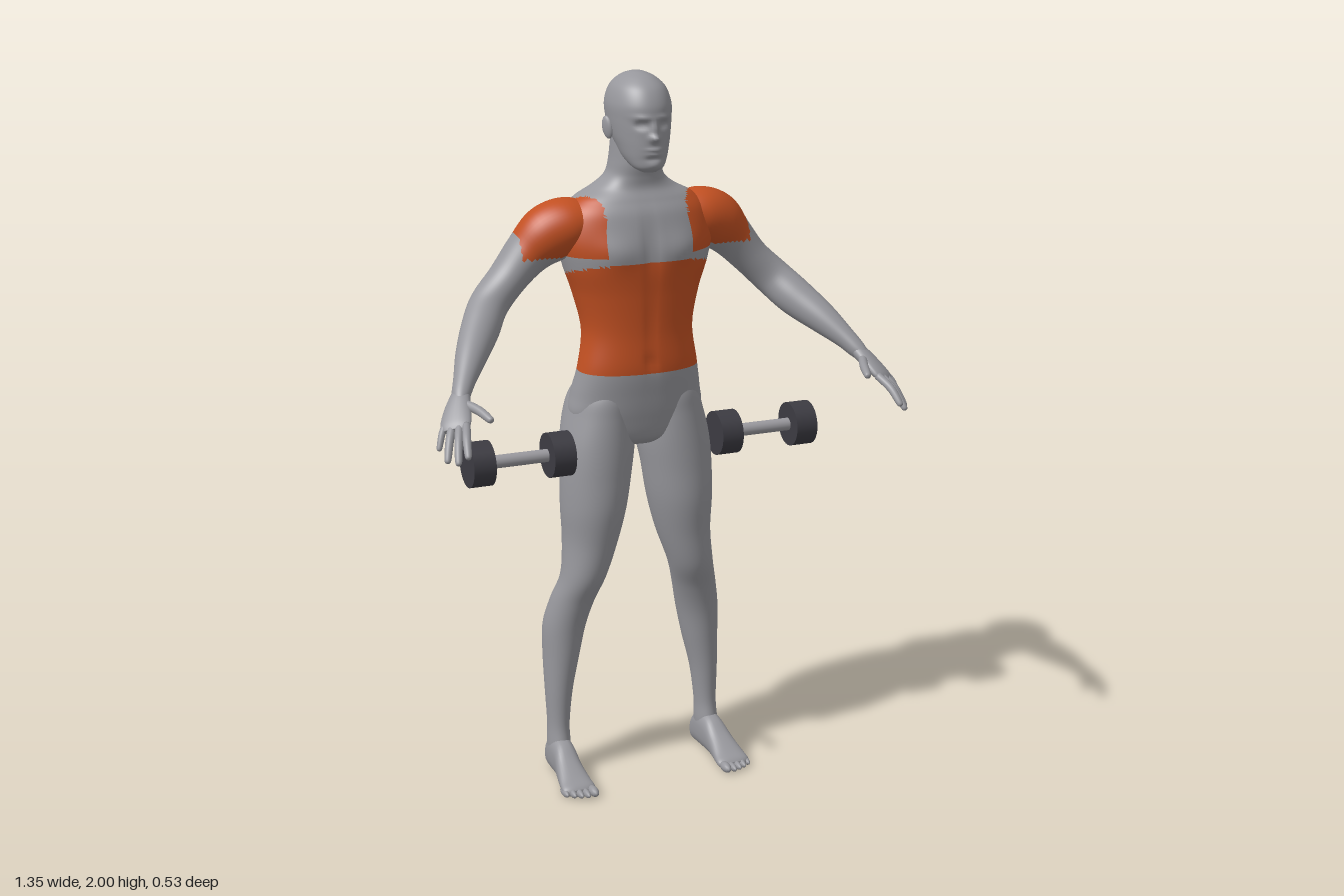
import * as THREE from 'three';

const V = (x, y, z) => new THREE.Vector3(x, y, z);
const mat = (name, color) => {
  const m = new THREE.MeshStandardMaterial({ color });
  m.name = name;
  return m;
};
const pow = (v, p) => Math.sign(v) * Math.abs(v) ** p;

// Smooth in-between sections for a short list of key sections
function refine(keys, steps) {
  const out = [], n = keys.length, at = i => keys[Math.min(n - 1, Math.max(0, i))];
  for (let i = 0; i < n - 1; i++) for (let s = 0; s < steps; s++) {
    const t = s / steps;
    out.push(keys[i].map((_, k) => {
      const a = at(i - 1)[k], b = at(i)[k], c = at(i + 1)[k], d = at(i + 2)[k];
      return b + 0.5 * t * (c - a + t * (2 * a - 5 * b + 4 * c - d + t * (3 * (b - c) + d - a)));
    }));
  }
  out.push(keys[n - 1]);
  return out;
}

function ring(c, u, v, segs, p = 1) {
  return Array.from({ length: segs }, (_, i) => {
    const a = i / segs * Math.PI * 2;
    return c.clone().addScaledVector(u, pow(Math.cos(a), p)).addScaledVector(v, pow(Math.sin(a), p));
  });
}

// Level sections: [y, centre x, half width, back z, front z]
const levels = (keys, segs, p, steps = 8) => refine(keys, steps).map(([y, x, w, b, f]) =>
  ring(V(x, y, (b + f) / 2), V(w, 0, 0), V(0, 0, (f - b) / 2), segs, p));

// Sections square to a path: [x, y, z, radius along ref, other radius]
function limb(keys, ref, segs, steps = 6) {
  const s = refine(keys, steps), pts = s.map(k => V(k[0], k[1], k[2]));
  return s.map((k, i) => {
    const t = pts[Math.min(i + 1, pts.length - 1)].clone().sub(pts[Math.max(i - 1, 0)]).normalize();
    const u = ref.clone().addScaledVector(t, -ref.dot(t)).normalize();
    return ring(pts[i], u.clone().multiplyScalar(k[3]), t.cross(u).multiplyScalar(k[4]), segs);
  });
}

// Closed skin over rings; bumps are soft swellings [x, y, spread x, spread y, amount, face]
function skin(name, rings, mats, { side = 1, bumps = [], paint = () => false } = {}) {
  const segs = rings[0].length, pts = rings.flat().map(p => p.clone());
  const mean = r => r.reduce((a, p) => a.add(p), V(0, 0, 0)).divideScalar(segs);
  pts.push(mean(rings[0]), mean(rings[rings.length - 1]));
  for (const p of pts) {
    let dz = 0;
    for (const [x, y, sx, sy, amt, face = 1] of bumps) {
      const w = THREE.MathUtils.clamp(face * (p.z + 0.11) / 0.08, 0, 1);
      dz += w * face * amt * Math.exp(-(((Math.abs(p.x) - x) / sx) ** 2) - ((p.y - y) / sy) ** 2);
    }
    p.z += dz;
    p.x *= side;
  }
  const tris = [], last = (rings.length - 1) * segs, n = rings.length * segs;
  for (let j = 0; j < segs; j++) {
    const k = (j + 1) % segs;
    tris.push([n, k, j], [n + 1, last + j, last + k]);
    for (let i = 0; i < last; i += segs)
      tris.push([i + j, i + k, i + segs + k], [i + j, i + segs + k, i + segs + j]);
  }
  const vol = tris.reduce((s, [a, b, c]) => s + pts[a].dot(pts[b].clone().cross(pts[c])), 0);
  const lists = [[], []];
  for (const [a, b, c] of tris) {
    const m = pts[a].clone().add(pts[b]).add(pts[c]).divideScalar(3);
    lists[paint(Math.abs(m.x), m.y, m.z) ? 1 : 0].push(...(vol > 0 ? [a, b, c] : [a, c, b]));
  }
  const g = new THREE.BufferGeometry().setFromPoints(pts);
  g.setIndex(lists.flat());
  g.addGroup(0, lists[0].length, 0);
  if (lists[1].length) g.addGroup(lists[0].length, lists[1].length, 1);
  g.computeVertexNormals();
  const mesh = new THREE.Mesh(g, mats);
  mesh.name = name;
  return mesh;
}

export function createModel() {
  const model = new THREE.Group();
  model.name = 'athlete';
  const body = [mat('skinGrey', 0x97979c), mat('muscleOrange', 0xc25022)];
  const dark = mat('weightDark', 0x3c3b42), steel = mat('handleSteel', 0x9a999e);

  // Highlighted shoulders and waist band
  const shoulder = (x, y, z) => x > 0.12 + Math.max(0, -0.06 - z) * 0.55 && x < 0.335 &&
    y > 1.515 + 0.45 * Math.max(0, -0.1 - z);
  const paint = (x, y, z) => shoulder(x, y, z) || (x < 0.23 && y > 1.19 && y < 1.5 + 0.29 * z);

  // Torso and neck
  model.add(skin('torso', levels([
    [0.975, 0, 0.06, -0.17, -0.07], [1.0, 0, 0.15, -0.215, -0.045], [1.06, 0, 0.192, -0.237, -0.03],
    [1.12, 0, 0.186, -0.238, -0.02], [1.2, 0, 0.17, -0.216, -0.01], [1.3, 0, 0.157, -0.22, -0.013],
    [1.4, 0, 0.178, -0.24, -0.01], [1.48, 0, 0.205, -0.25, -0.005], [1.55, 0, 0.22, -0.257, -0.01],
    [1.62, 0, 0.205, -0.252, -0.025], [1.66, 0, 0.17, -0.237, -0.045], [1.69, 0, 0.115, -0.222, -0.06],
    [1.72, 0, 0.08, -0.21, -0.06], [1.76, 0, 0.07, -0.2, -0.055], [1.83, 0, 0.066, -0.185, -0.06],
  ], 80, 0.88), body, {
    paint, bumps: [
      [0.09, 1.53, 0.06, 0.045, 0.012], [0, 1.54, 0.014, 0.08, -0.008], [0, 1.33, 0.012, 0.12, -0.005],
      [0.09, 1.6, 0.05, 0.07, 0.015, -1], [0, 1.4, 0.028, 0.22, -0.018, -1], [0, 1.22, 0.012, 0.02, -0.006],
    ],
  }));

  // Head with modelled face
  model.add(skin('head', levels([
    [1.742, 0, 0.02, -0.045, -0.012], [1.755, 0, 0.042, -0.08, 0.004], [1.78, 0, 0.058, -0.13, 0.008],
    [1.81, 0, 0.068, -0.165, 0.01], [1.84, 0, 0.076, -0.195, 0.01], [1.88, 0, 0.082, -0.217, 0.01],
    [1.92, 0, 0.083, -0.222, 0.008], [1.96, 0, 0.07, -0.205, -0.012], [1.985, 0, 0.045, -0.175, -0.045],
    [1.997, 0, 0.02, -0.14, -0.08], [2.0, 0, 0.003, -0.115, -0.105],
  ], 80, 0.95), body, {
    bumps: [
      [0, 1.836, 0.013, 0.01, 0.019], [0, 1.86, 0.008, 0.02, 0.011], [0.032, 1.87, 0.015, 0.01, -0.013],
      [0.032, 1.869, 0.008, 0.005, 0.005], [0.03, 1.89, 0.025, 0.007, 0.005], [0, 1.805, 0.02, 0.005, 0.006],
      [0, 1.793, 0.018, 0.005, 0.005], [0, 1.78, 0.02, 0.006, -0.005], [0, 1.762, 0.02, 0.01, 0.004],
    ],
  }));

  for (const side of [1, -1]) {
    const who = side > 0 ? 'left' : 'right';
    const add = (part, rings, opts) => model.add(skin(who + part, rings, body, { side, ...opts }));

    // Ear
    const ear = new THREE.Mesh(new THREE.SphereGeometry(1, 16, 12), body[0]);
    ear.name = who + 'Ear';
    ear.scale.set(0.009, 0.031, 0.018);
    ear.position.set(side * 0.085, 1.853, -0.112);
    ear.rotation.set(-0.2, side * -0.4, side * -0.12);
    model.add(ear);

    // Leg
    add('Leg', levels([
      [1.18, 0.09, 0.05, -0.19, -0.06], [1.12, 0.096, 0.083, -0.25, -0.035], [1.06, 0.103, 0.096, -0.264, -0.03],
      [0.98, 0.112, 0.104, -0.246, -0.025], [0.9, 0.121, 0.1, -0.225, -0.022], [0.8, 0.13, 0.092, -0.222, -0.02],
      [0.7, 0.141, 0.077, -0.21, -0.032], [0.6, 0.163, 0.064, -0.19, -0.045], [0.52, 0.187, 0.062, -0.213, -0.075],
      [0.44, 0.205, 0.06, -0.232, -0.095], [0.35, 0.215, 0.051, -0.225, -0.105], [0.25, 0.225, 0.039, -0.206, -0.112],
      [0.15, 0.229, 0.031, -0.195, -0.115], [0.09, 0.23, 0.032, -0.197, -0.105], [0.04, 0.231, 0.03, -0.195, -0.1],
    ], 48, 1));

    // Foot: [z, centre x, half width, top y]
    add('Foot', refine([
      [-0.214, 0.228, 0.008, 0.05], [-0.2, 0.228, 0.026, 0.075], [-0.16, 0.23, 0.033, 0.11],
      [-0.1, 0.232, 0.034, 0.105], [-0.05, 0.236, 0.039, 0.072], [0, 0.238, 0.046, 0.043],
      [0.03, 0.238, 0.047, 0.03], [0.042, 0.238, 0.03, 0.02],
    ], 6).map(([z, x, w, top]) => ring(V(x, top / 2, z), V(w, 0, 0), V(0, top / 2, 0), 32, 0.8)));
    for (let i = 0; i < 5; i++) {
      const toe = new THREE.Mesh(new THREE.SphereGeometry(1, 14, 10), body[0]);
      toe.name = who + 'Toe';
      const big = i === 0;
      toe.scale.set(big ? 0.013 : 0.009, big ? 0.014 : 0.011, 0.028);
      toe.position.set(side * (big ? 0.204 : 0.207 + i * 0.018), big ? 0.014 : 0.011, 0.05 - i * i * 0.0018);
      model.add(toe);
    }

    // Arm from inside the chest to the wrist
    add('Arm', limb([
      [0.13, 1.61, -0.13, 0.045, 0.06], [0.185, 1.595, -0.14, 0.074, 0.08], [0.245, 1.568, -0.15, 0.08, 0.08],
      [0.3, 1.52, -0.16, 0.063, 0.068], [0.36, 1.455, -0.157, 0.052, 0.06], [0.42, 1.395, -0.135, 0.053, 0.053],
      [0.465, 1.345, -0.08, 0.053, 0.05], [0.515, 1.295, -0.01, 0.043, 0.042], [0.555, 1.25, 0.05, 0.03, 0.031],
      [0.578, 1.22, 0.085, 0.024, 0.026], [0.59, 1.205, 0.105, 0.016, 0.02],
    ], V(0.7, 0.7, 0), 48), { paint: shoulder });

    // Hand: palm, fingers and thumb
    const across = V(0.64, 0, -0.77);
    add('Palm', limb([
      [0.568, 1.235, 0.068, 0.018, 0.015], [0.582, 1.215, 0.09, 0.027, 0.02], [0.6, 1.19, 0.12, 0.037, 0.019],
      [0.618, 1.162, 0.155, 0.042, 0.015], [0.625, 1.15, 0.17, 0.033, 0.009],
    ], across, 24));
    const tips = [[0.622, 1.1, 0.264], [0.644, 1.082, 0.25], [0.662, 1.08, 0.215], [0.668, 1.1, 0.165]];
    const digit = (part, a, m, b, r) => add(part, limb([
      [...a, r, r], [...m, r, r], [...m.map((v, k) => v + (b[k] - v) * 0.85), r * 0.8, r * 0.8], [...b, 0.002, 0.002],
    ], across, 14));
    tips.forEach((tip, i) => {
      const s = (i - 1.5) * 0.02, base = [0.615 + s * 0.64, 1.165, 0.152 - s * 0.77];
      const mid = base.map((v, k) => (v + tip[k]) / 2 + (k === 1 ? 0.008 : 0.002));
      digit('Finger', base, mid, tip, i === 3 ? 0.009 : 0.011);
    });
    digit('Thumb', [0.583, 1.205, 0.105], [0.557, 1.195, 0.165], [0.541, 1.18, 0.22], 0.012);

    // Dumbbell beside the hip
    const bell = new THREE.Group();
    bell.name = who + 'Dumbbell';
    const rod = (name, r, len, x, m) => {
      const part = new THREE.Mesh(new THREE.CylinderGeometry(r, r, len, 32), m);
      part.name = name;
      part.rotation.z = Math.PI / 2;
      part.position.x = x;
      bell.add(part);
    };
    rod('handle', 0.018, 0.2, 0, steel);
    for (const end of [-1, 1]) rod('weight', 0.062, 0.063, end * 0.115, dark);
    bell.position.set(side * 0.371, side > 0 ? 0.972 : 0.978, side > 0 ? -0.091 : -0.06);
    model.add(bell);
  }
  return model;
}
